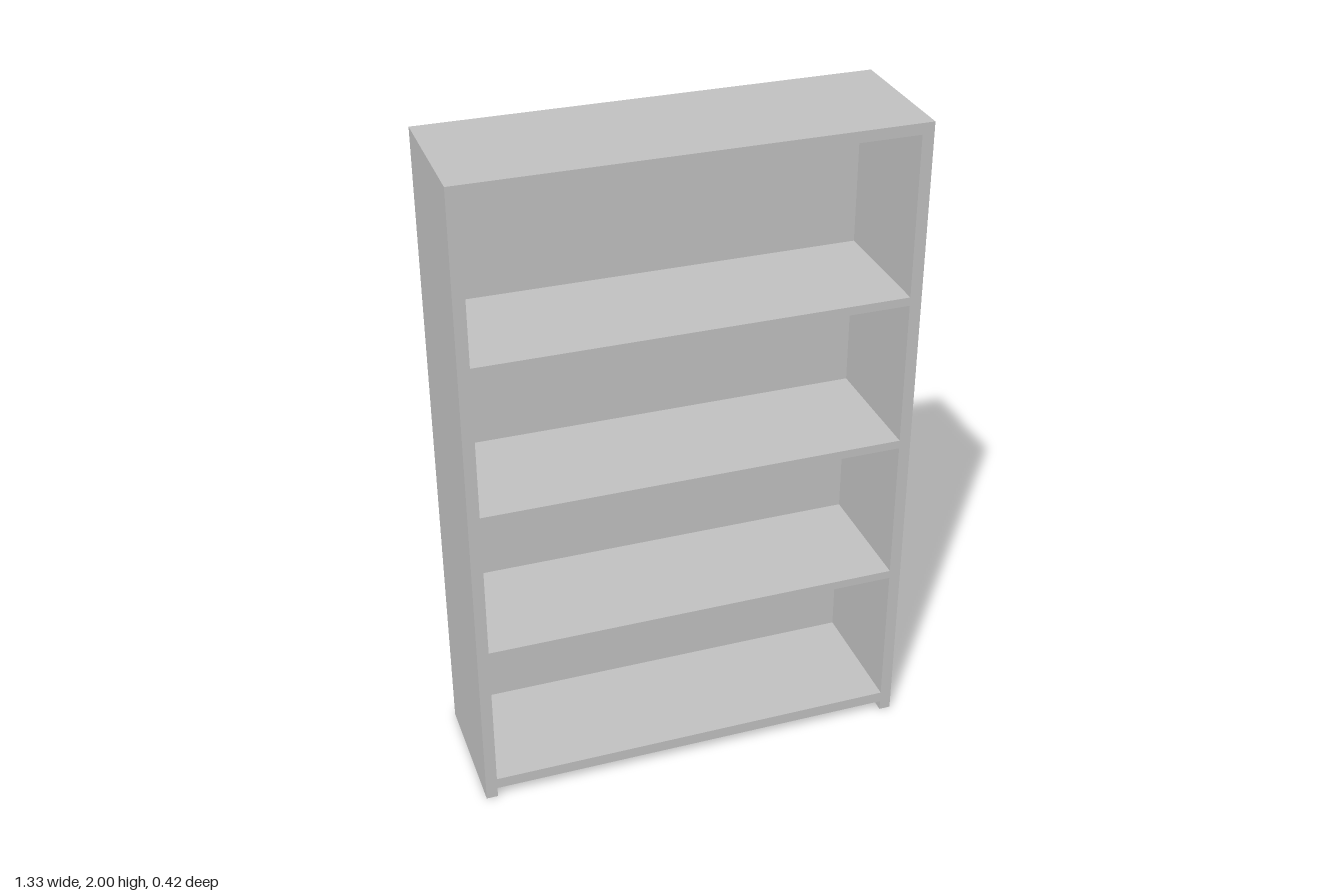
import * as THREE from 'three';

export function createModel() {
  const group = new THREE.Group();
  group.name = 'bookcase';
  const grey = new THREE.MeshStandardMaterial({ color: 0xc0c0c0 });
  grey.name = 'grey paint';

  const W = 1.334, H = 2, D = 0.418;      // overall size
  const side = 0.035, back = 0.025;       // board thicknesses
  const innerW = W - 2 * side, innerD = D - back;

  // Adds a board by its size and centre
  function board(name, w, h, d, x, y, z) {
    const mesh = new THREE.Mesh(new THREE.BoxGeometry(w, h, d), grey);
    mesh.name = name;
    mesh.position.set(x, y, z);
    group.add(mesh);
  }

  // Full-height side panels
  for (const [name, s] of [['leftSide', 1], ['rightSide', -1]]) {
    board(name, side, H, D, s * (W - side) / 2, H / 2, 0);
  }

  // Back panel, reaching the floor between the sides
  board('backPanel', innerW, H, back, 0, H / 2, -(D - back) / 2);

  // Horizontal boards, each from its bottom to its top height
  const levels = [
    ['bottomShelf', 0.032, 0.067],
    ['lowerShelf', 0.518, 0.544],
    ['middleShelf', 0.986, 1.012],
    ['upperShelf', 1.456, 1.482],
    ['topBoard', 1.967, 2],
  ];
  for (const [name, y0, y1] of levels) {
    board(name, innerW, y1 - y0, innerD, 0, (y0 + y1) / 2, back / 2);
  }

  return group;
}
